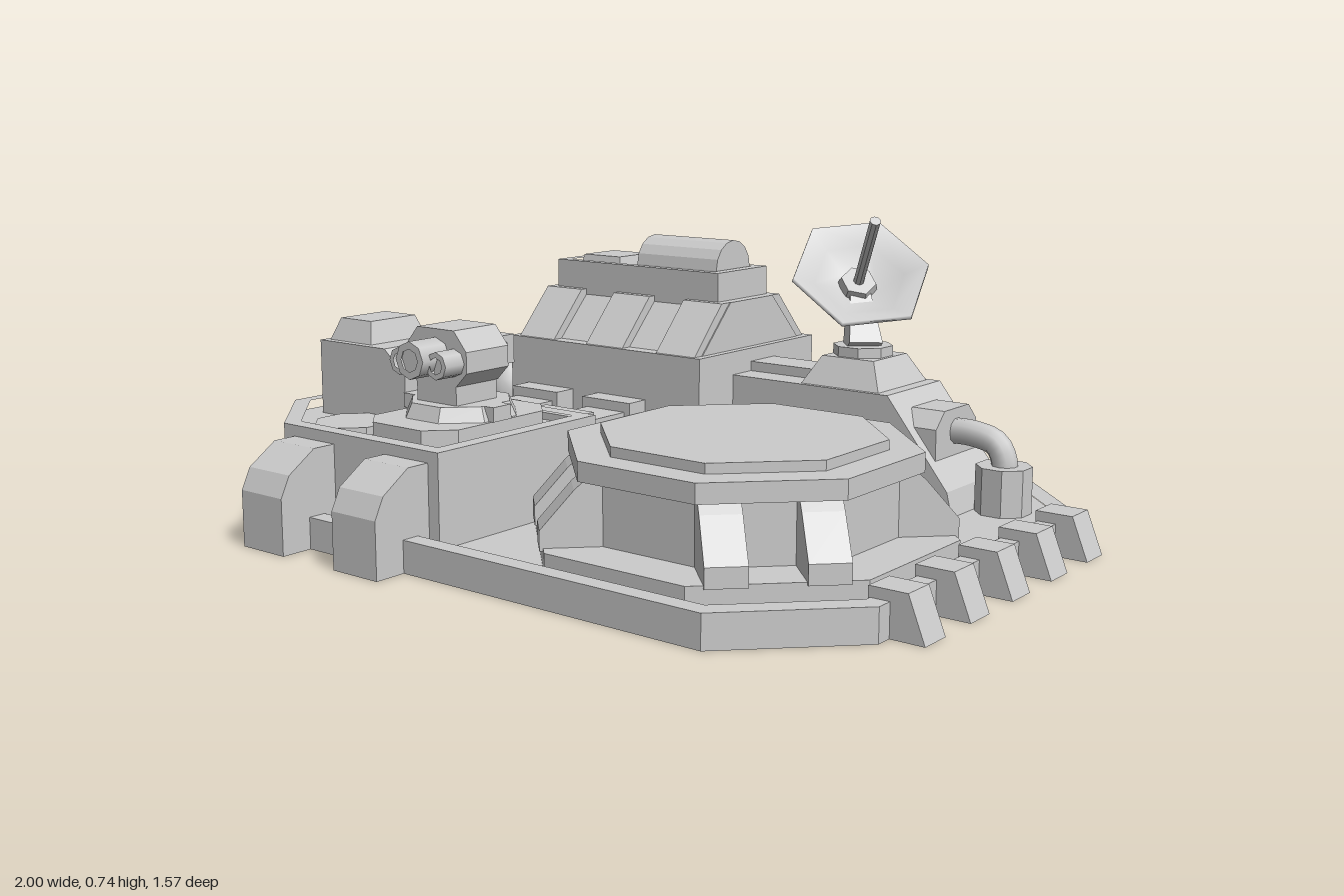
import * as THREE from 'three';

const flat = new THREE.MeshStandardMaterial({ color: 0xcccccc, flatShading: true });
const smooth = new THREE.MeshStandardMaterial({ color: 0xcccccc });
const thin = new THREE.MeshStandardMaterial({ color: 0xcccccc, side: THREE.DoubleSide });
const V = (x, y, z) => new THREE.Vector3(x, y, z);
const FLOOR = 0.04;

export function createModel() {
  const root = new THREE.Group();

  const add = (name, geo, mat = flat) => {
    const m = new THREE.Mesh(geo, mat);
    m.name = name;
    root.add(m);
    return m;
  };
  const box = (name, x0, x1, y0, y1, z0, z1) =>
    add(name, new THREE.BoxGeometry(x1 - x0, y1 - y0, z1 - z0)
      .translate((x0 + x1) / 2, (y0 + y1) / 2, (z0 + z1) / 2));

  // Outline extruded along an axis: x takes (z,y), y takes (x,z), z takes (x,y)
  const prism = (name, axis, pts, a, b, hole) => {
    const map = ([u, v]) => new THREE.Vector2(axis === 'x' ? -u : u, axis === 'y' ? -v : v);
    const s = new THREE.Shape(pts.map(map));
    if (hole) s.holes.push(new THREE.Path(hole.map(map)));
    const g = new THREE.ExtrudeGeometry(s, { depth: b - a, bevelEnabled: false }).translate(0, 0, a);
    if (axis === 'x') g.rotateY(Math.PI / 2);
    if (axis === 'y') g.rotateX(-Math.PI / 2);
    return add(name, g);
  };
  // Turns a solid standing on the ground into a shell without underside
  const hollow = mesh => {
    const p = mesh.geometry.attributes.position, kept = [];
    for (let i = 0; i < p.count; i += 3) {
      const tri = [0, 1, 2].map(k => V().fromBufferAttribute(p, i + k));
      if (tri.some(v => v.y > 1e-4)) kept.push(...tri);
    }
    mesh.geometry = new THREE.BufferGeometry().setFromPoints(kept);
    mesh.geometry.computeVertexNormals();
    mesh.material = thin;
  };
  const rect = (x0, x1, z0, z1) => [[x0, z0], [x1, z0], [x1, z1], [x0, z1]];
  const chamfered = (x0, x1, z0, z1, c) => [[x0 + c, z0], [x1 - c, z0], [x1, z0 + c], [x1, z1 - c],
    [x1 - c, z1], [x0 + c, z1], [x0, z1 - c], [x0, z0 + c]];
  // Block with a recessed roof behind a low parapet
  const tray = (name, outline, inner, y0, y1, d) => {
    prism(name, 'y', outline, y0, y1 - d);
    prism(name + 'Parapet', 'y', outline, y1 - d, y1, inner);
  };
  // Octagonal disc, sized by the distance from centre to flat side
  const octagon = (name, x, z, y0, y1, rBottom, rTop = rBottom) => {
    const k = Math.cos(Math.PI / 8);
    return add(name, new THREE.CylinderGeometry(rTop / k, rBottom / k, y1 - y0, 8)
      .rotateY(Math.PI / 8).translate(x, (y0 + y1) / 2, z));
  };
  // Four-sided frustum
  const frustum = (name, x0, x1, y0, y1, z0, z1, inset) => {
    const m = box(name, x0, x1, y0, y1, z0, z1), p = m.geometry.attributes.position;
    const cx = (x0 + x1) / 2, cz = (z0 + z1) / 2;
    for (let i = 0; i < p.count; i++) if (p.getY(i) > (y0 + y1) / 2) {
      p.setX(i, p.getX(i) - Math.sign(p.getX(i) - cx) * inset);
      p.setZ(i, p.getZ(i) - Math.sign(p.getZ(i) - cz) * inset);
    }
  };
  const pipe = (name, r, ...pts) =>
    add(name, new THREE.TubeGeometry(new THREE.CatmullRomCurve3(pts), 16, r, 10), smooth);
  const rod = (name, from, to, r0, r1, sides) => {
    const dir = to.clone().sub(from);
    const m = add(name, new THREE.CylinderGeometry(r1, r0, dir.length(), sides));
    m.position.copy(from).addScaledVector(dir, 0.5);
    m.quaternion.setFromUnitVectors(V(0, 1, 0), dir.normalize());
  };

  // Base shell with raised rim
  const plan = chamfered(-0.92, 0.92, -0.67, 0.705, 0.245);
  hollow(prism('baseShell', 'y', plan, 0, FLOOR));
  prism('baseRim', 'y', plan, FLOOR, 0.076, chamfered(-0.875, 0.875, -0.628, 0.66, 0.225));

  // Barrier blocks along both sides
  for (const s of [-1, 1]) for (let i = 0; i < 5; i++) {
    const z = -0.35 + i * 0.1825;
    hollow(prism('barrierBlock', 'z', [[0.87, 0], [1, 0], [0.96, 0.1], [0.87, 0.1]].map(([x, y]) => [s * x, y]), z - 0.04, z + 0.04));
  }

  // Front building with cut corner and buttresses
  tray('frontBuilding',
    [[-0.835, 0.09], [-0.11, 0.09], [-0.11, 0.625], [-0.63, 0.625], [-0.835, 0.42]],
    [[-0.8, 0.13], [-0.15, 0.13], [-0.15, 0.585], [-0.615, 0.585], [-0.8, 0.4]], FLOOR, 0.262, 0.03);
  for (const x of [-0.523, -0.212])
    hollow(prism('frontButtress', 'x', [[0.6, 0], [0.785, 0], [0.785, 0.135], [0.76, 0.185], [0.685, 0.235], [0.6, 0.235]], x - 0.07, x + 0.07));

  // Roof tower, cap and hatch
  prism('roofTower', 'z', [[-0.77, 0.22], [-0.465, 0.22], [-0.465, 0.36], [-0.535, 0.42], [-0.595, 0.42], [-0.77, 0.42]], 0.155, 0.385);
  frustum('towerCap', -0.755, -0.605, 0.42, 0.475, 0.175, 0.365, 0.02);
  octagon('roofHatch', -0.56, 0.47, 0.22, 0.252, 0.088);

  // Gun turret
  prism('turretPlate', 'y', chamfered(-0.45, -0.17, 0.155, 0.56, 0.06), 0.22, 0.285);
  octagon('turretRing', -0.31, 0.35, 0.285, 0.32, 0.13, 0.115);
  box('turretTrunnion', -0.465, -0.165, 0.285, 0.32, 0.33, 0.39);
  box('turretPedestal', -0.375, -0.245, 0.32, 0.385, 0.295, 0.43);
  prism('gunBody', 'z', [[-0.41, 0.4], [-0.375, 0.365], [-0.245, 0.365], [-0.21, 0.4], [-0.21, 0.45], [-0.25, 0.497], [-0.37, 0.497], [-0.41, 0.45]], 0.29, 0.43);
  add('gunRear', new THREE.CylinderGeometry(0.107, 0.06, 0.045, 8).rotateY(Math.PI / 8)
    .rotateX(Math.PI / 2).scale(1, 0.62, 1).translate(-0.31, 0.43, 0.268));
  box('gunBreech', -0.345, -0.275, 0.39, 0.46, 0.2, 0.26);
  for (const [dx, y, r, end] of [[0, 0.432, 0.045, 0.515], [-0.06, 0.422, 0.033, 0.49], [0.06, 0.422, 0.033, 0.49]]) {
    add('gunMuzzle', new THREE.CylinderGeometry(r, r, end - 0.41, 8, 1, true).rotateX(Math.PI / 2)
      .translate(-0.31 + dx, y, (end + 0.41) / 2), thin);
    add('muzzleRing', new THREE.RingGeometry(r * 0.6, r, 8).translate(-0.31 + dx, y, end));
    add('muzzleBore', new THREE.CircleGeometry(r, 8).translate(-0.31 + dx, y, end - 0.02));
  }

  // Conduits joining the two buildings
  for (const x of [-0.503, -0.255]) {
    box('conduit', x - 0.063, x + 0.063, FLOOR, 0.225, -0.2, 0.1);
    box('conduitCollar', x - 0.08, x + 0.08, FLOOR, 0.25, -0.2, -0.12);
    box('conduitCollar', x - 0.08, x + 0.08, FLOOR, 0.25, 0.02, 0.1);
  }

  // Rear building with sloped upper storey and panels
  hollow(prism('rearBuilding', 'y', rect(-0.645, 0, -0.7, -0.185), 0, 0.375));
  prism('rearUpperStorey', 'x', [[-0.225, 0.375], [-0.345, 0.5], [-0.535, 0.5], [-0.655, 0.375]], -0.62, -0.02);
  for (const x of [-0.56, -0.322, -0.085]) for (const back of [false, true])
    prism('slopePanel', 'x', [[-0.195, 0.375], [-0.31, 0.5], [-0.36, 0.5], [-0.3, 0.375]]
      .map(([z, y]) => [back ? -0.88 - z : z, y]), x - 0.062, x + 0.062);
  tray('rearTop', rect(-0.6, -0.05, -0.55, -0.33), rect(-0.57, -0.08, -0.525, -0.355), 0.48, 0.575, 0.03);
  frustum('topHatch', -0.56, -0.41, 0.54, 0.588, -0.52, -0.37, 0.012);
  const dome = [];
  for (let i = 0; i <= 8; i++) dome.push([-0.445 + 0.075 * Math.cos(i * Math.PI / 8), 0.575 + 0.075 * Math.sin(i * Math.PI / 8)]);
  prism('topVault', 'x', [[-0.52, 0.54], [-0.37, 0.54], ...dome], -0.35, -0.085);

  // Rear ribs with backing
  hollow(prism('ribBacking', 'x', [[-0.69, 0], [-0.76, 0], [-0.76, 0.19], [-0.69, 0.275]], -0.6, -0.04));
  for (let i = 0; i < 5; i++) {
    const x = -0.57 + i * 0.125;
    hollow(prism('rearRib', 'x', [[-0.69, 0], [-0.785, 0], [-0.785, 0.21], [-0.7, 0.305], [-0.69, 0.305]], x - 0.042, x + 0.042));
  }

  // Storage tanks with elbow pipes
  for (const z of [-0.43, -0.275]) {
    const pts = [[0, FLOOR], [0.075, FLOOR], [0.075, 0.205], [0.07, 0.24], [0.053, 0.27], [0.028, 0.288], [0, 0.295]];
    add('storageTank', new THREE.LatheGeometry(pts.map(p => new THREE.Vector2(...p)), 16).translate(-0.735, 0, z), smooth);
    pipe('tankPipe', 0.026, V(-0.735, 0.265, z), V(-0.732, 0.295, z), V(-0.71, 0.315, z), V(-0.63, 0.315, z));
  }

  // Side wall block with sloped end
  prism('sideWall', 'z', [[-0.01, FLOOR], [0.645, FLOOR], [0.63, 0.1], [0.46, 0.315], [-0.01, 0.315]], -0.59, -0.33);
  box('sideWallRidge', -0.01, 0.3, 0.31, 0.34, -0.515, -0.41);
  prism('pipeHousing', 'x', [[-0.56, 0.145], [-0.36, 0.145], [-0.36, 0.24], [-0.4, 0.28], [-0.52, 0.28], [-0.56, 0.24]], 0.49, 0.58);
  pipe('outletPipe', 0.032, V(0.54, 0.222, -0.46), V(0.63, 0.222, -0.46), V(0.69, 0.205, -0.46), V(0.712, 0.165, -0.46), V(0.712, 0.1, -0.46));
  octagon('outletDrum', 0.712, -0.46, FLOOR, 0.155, 0.063);

  // Dish antenna
  frustum('dishPedestal', 0.2, 0.43, 0.31, 0.385, -0.58, -0.34, 0.04);
  octagon('dishTurntable', 0.31, -0.46, 0.385, 0.41, 0.07);
  rod('dishArm', V(0.315, 0.4, -0.45), V(0.262, 0.535, -0.508), 0.06, 0.035, 4);
  const n = V(0.49, 0.72, 0.49).normalize();
  const dish = add('dish', new THREE.LatheGeometry([[0, -0.065], [0.06, -0.055], [0.13, -0.02], [0.18, 0.015],
    [0.178, 0.028], [0.12, -0.003], [0.05, -0.033], [0, -0.038]].map(p => new THREE.Vector2(...p)), 6), thin);
  dish.position.set(0.277, 0.572, -0.49);
  dish.quaternion.setFromUnitVectors(V(0, 1, 0), n);
  dish.rotateY(0.37);
  const at = d => dish.position.clone().addScaledVector(n, d);
  rod('dishHub', at(-0.05), at(-0.01), 0.055, 0.045, 6);
  rod('dishFeed', at(-0.04), at(0.22), 0.014, 0.014, 8);

  // Octagonal landing pad
  const px = 0.38, pz = 0.163;
  octagon('padFooting', px, pz, FLOOR, 0.086, 0.452);
  octagon('padDrum', px, pz, 0.08, 0.24, 0.335);
  octagon('padDeck', px, pz, 0.232, 0.277, 0.378);
  octagon('padTop', px, pz, 0.277, 0.3, 0.305);

  // Paired pad legs on each diagonal side
  for (let q = 0; q < 4; q++) for (const t of [-0.105, 0.105]) {
    const leg = prism('padLeg', 'x', [[0.3, 0.08], [0.46, 0.08], [0.46, 0.125], [0.385, 0.212], [0.36, 0.235], [0.3, 0.235]], t - 0.045, t + 0.045);
    leg.position.set(px, 0, pz);
    leg.rotation.y = Math.PI / 4 + q * Math.PI / 2;
  }

  return root;
}
